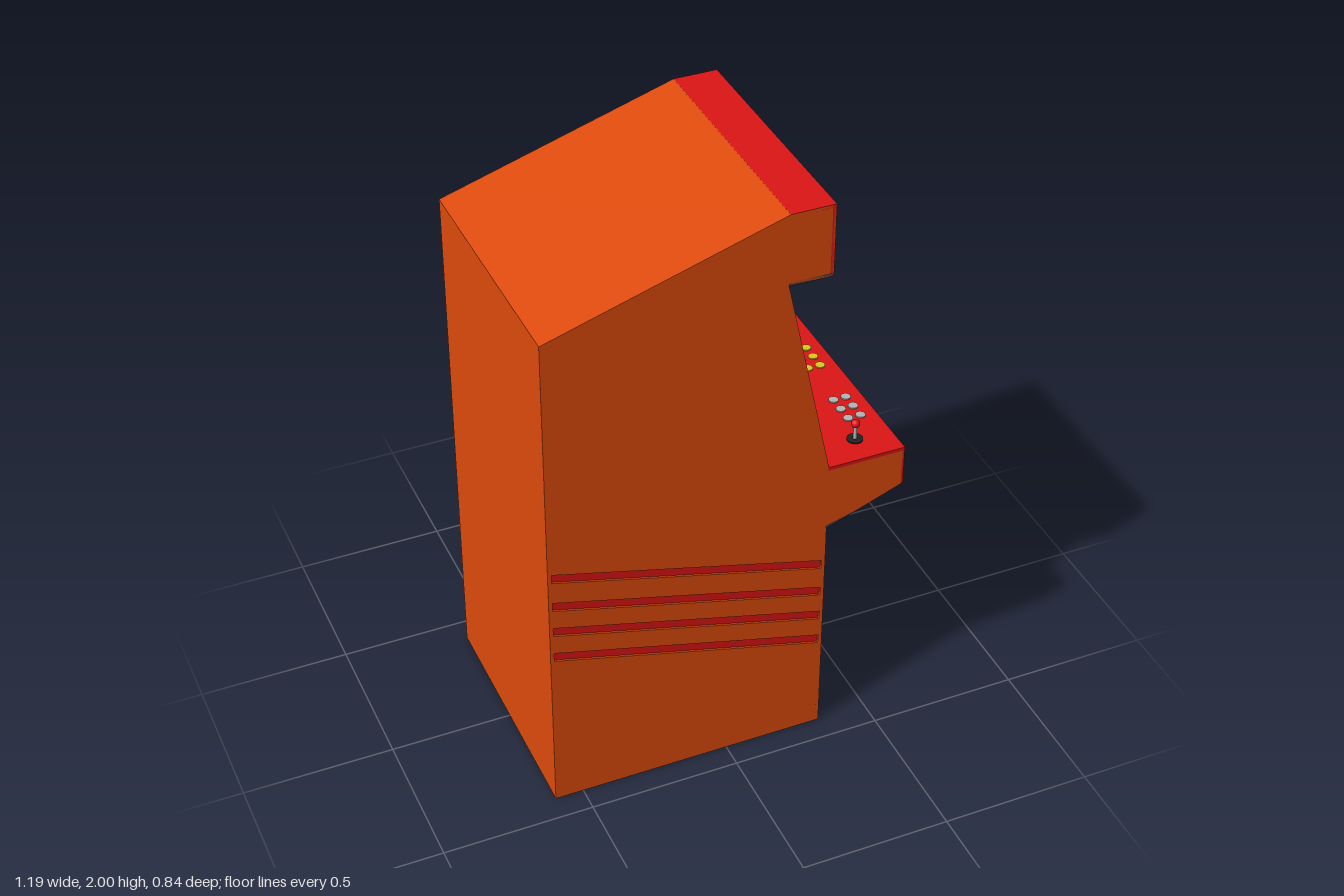
import * as THREE from 'three';

const mat = (color) => new THREE.MeshStandardMaterial({ color });
const orange = mat(0xde4a0c), red = mat(0xdc1515), dark = mat(0x383838), black = mat(0x222222);
const blue = mat(0x30c2de), yellow = mat(0xdcc81c), grey = mat(0xb4b4b4);

const H = 0.418; // half width of the cabinet (z)
const SKIN = 0.01; // thickness of the side panels

// Side outline (x, y), counter-clockwise from the bottom rear corner
const OUTLINE = [
  [-0.593, 0], [0.33, 0], [0.33, 0.81], [0.59, 0.91], [0.59, 1.048], [0.33, 1.048],
  [0.175, 1.757], [0.318, 1.757], [0.318, 2], [0.175, 2], [-0.593, 1.76],
];
const toShape = (pts) => new THREE.Shape(pts.map(([x, y]) => new THREE.Vector2(x, y)));
const rect = (x0, y0, x1, y1) => [[x0, y0], [x1, y0], [x1, y1], [x0, y1]];

function add(parent, name, geometry, material, x = 0, y = 0, z = 0) {
  const mesh = new THREE.Mesh(geometry, material);
  mesh.name = name;
  mesh.position.set(x, y, z);
  parent.add(mesh);
  return mesh;
}

// Flat plate, optionally with an opening; its front face lies at local z = front
function plate(parent, name, material, outer, opening, front, depth) {
  const shape = toShape(outer);
  if (opening) shape.holes.push(toShape(opening));
  const geometry = new THREE.ExtrudeGeometry(shape, { depth, bevelEnabled: false });
  return add(parent, name, geometry, material, 0, 0, front - depth);
}

// Group standing on outline edge i: local y runs along the edge, z points outward
function edgeGroup(parent, i, name) {
  const p = OUTLINE[i], q = OUTLINE[(i + 1) % OUTLINE.length];
  const g = new THREE.Group();
  g.name = name;
  g.position.set((p[0] + q[0]) / 2, (p[1] + q[1]) / 2, 0);
  g.rotation.set(-Math.atan2(p[0] - q[0], q[1] - p[1]), Math.PI / 2, 0, 'YXZ');
  parent.add(g);
  g.userData.half = Math.hypot(q[0] - p[0], q[1] - p[1]) / 2;
  return g;
}

// Wall covering a whole outline edge
function wall(parent, i, name, material, opening) {
  const g = edgeGroup(parent, i, name), h = g.userData.half + 0.001;
  plate(g, name + 'Face', material, rect(-H, -h, H, h), opening, 0.001, 0.012);
  return g;
}

function addSides(root) {
  const tilt = Math.atan2(-0.243, 0.905), length = 0.937, width = 0.031;
  const ys = [0.788, 0.678, 0.578, 0.477]; // stripe centres
  const shape = toShape(OUTLINE);
  for (const y of ys) {
    const corners = rect(-length / 2, -width / 2, length / 2, width / 2).map(([a, b]) => [
      -0.132 + a * Math.cos(tilt) - b * Math.sin(tilt),
      y + a * Math.sin(tilt) + b * Math.cos(tilt),
    ]);
    shape.holes.push(toShape(corners));
  }
  for (const s of [1, -1]) {
    const side = s > 0 ? 'left' : 'right';
    const geometry = new THREE.ExtrudeGeometry(shape, { depth: SKIN, bevelEnabled: false });
    add(root, side + 'SidePanel', geometry, orange, 0, 0, s > 0 ? H - SKIN : -H);
    // red bands sunk into the grooves
    for (const y of ys) {
      const band = add(root, side + 'Stripe', new THREE.BoxGeometry(length, width, 0.006), red,
        -0.132, y, s * (H - 0.01));
      band.rotation.z = tilt;
    }
  }
}

function addScreen(root) {
  const frame = rect(-0.385, -0.343, 0.385, 0.314);
  const view = rect(-0.275, -0.256, 0.275, 0.236);
  const g = wall(root, 5, 'screenSurround', orange, frame);
  plate(g, 'bezel', dark, frame, view, -0.008, 0.03);
  plate(g, 'screen', blue, view, null, -0.034, 0.004);
}

function addFrontDoor(root) {
  const door = rect(-0.397, -0.387, 0.397, 0.386);
  const g = wall(root, 1, 'lowerFront', orange, door);
  plate(g, 'doorPanel', dark, door, null, -0.008, 0.005);
  // coin door with two lit buttons above two return slots
  plate(g, 'coinDoor', black, rect(-0.083, 0.014, 0.09, 0.172), null, -0.001, 0.01);
  for (const x of [-0.03, 0.03]) {
    for (const [y, core] of [[0.117, red], [0.071, black]]) {
      plate(g, 'coinButtonRim', dark, rect(x - 0.015, y - 0.014, x + 0.015, y + 0.014),
        rect(x - 0.011, y - 0.01, x + 0.011, y + 0.01), 0.002, 0.005);
      plate(g, 'coinButton', core, rect(x - 0.008, y - 0.008, x + 0.008, y + 0.008),
        null, core === red ? 0.006 : 0.001, 0.008);
    }
  }
}

function addControls(root) {
  const top = 1.049;
  for (const [zStick, zButtons, material] of [[-0.278, -0.125, yellow], [0.32, 0.165, grey]]) {
    // joystick
    add(root, 'joystickBase', new THREE.CylinderGeometry(0.026, 0.026, 0.004, 20), black, 0.467, top + 0.002, zStick);
    add(root, 'joystickShaft', new THREE.CylinderGeometry(0.006, 0.006, 0.055, 12), grey, 0.467, top + 0.029, zStick);
    add(root, 'joystickKnob', new THREE.SphereGeometry(0.0145, 20, 14), red, 0.467, top + 0.06, zStick);
    // two rows of three buttons
    for (const x of [0.495, 0.538]) {
      for (const dz of [-0.052, 0, 0.052]) {
        add(root, 'playButton', new THREE.CylinderGeometry(0.016, 0.016, 0.004, 20), material, x, top + 0.002, zButtons + dz);
      }
    }
  }
}

export function createModel() {
  const root = new THREE.Group();
  root.name = 'arcadeCabinet';
  addSides(root);
  wall(root, 0, 'bottom', orange);
  wall(root, 2, 'controlPanelUnderside', dark);
  wall(root, 3, 'controlPanelFront', red);
  wall(root, 4, 'controlPanelTop', red);
  wall(root, 6, 'marqueeUnderside', dark);
  wall(root, 7, 'marqueeFront', red);
  wall(root, 8, 'marqueeTop', red);
  wall(root, 9, 'roof', orange);
  wall(root, 10, 'back', orange);
  addScreen(root);
  addFrontDoor(root);
  addControls(root);
  return root;
}
